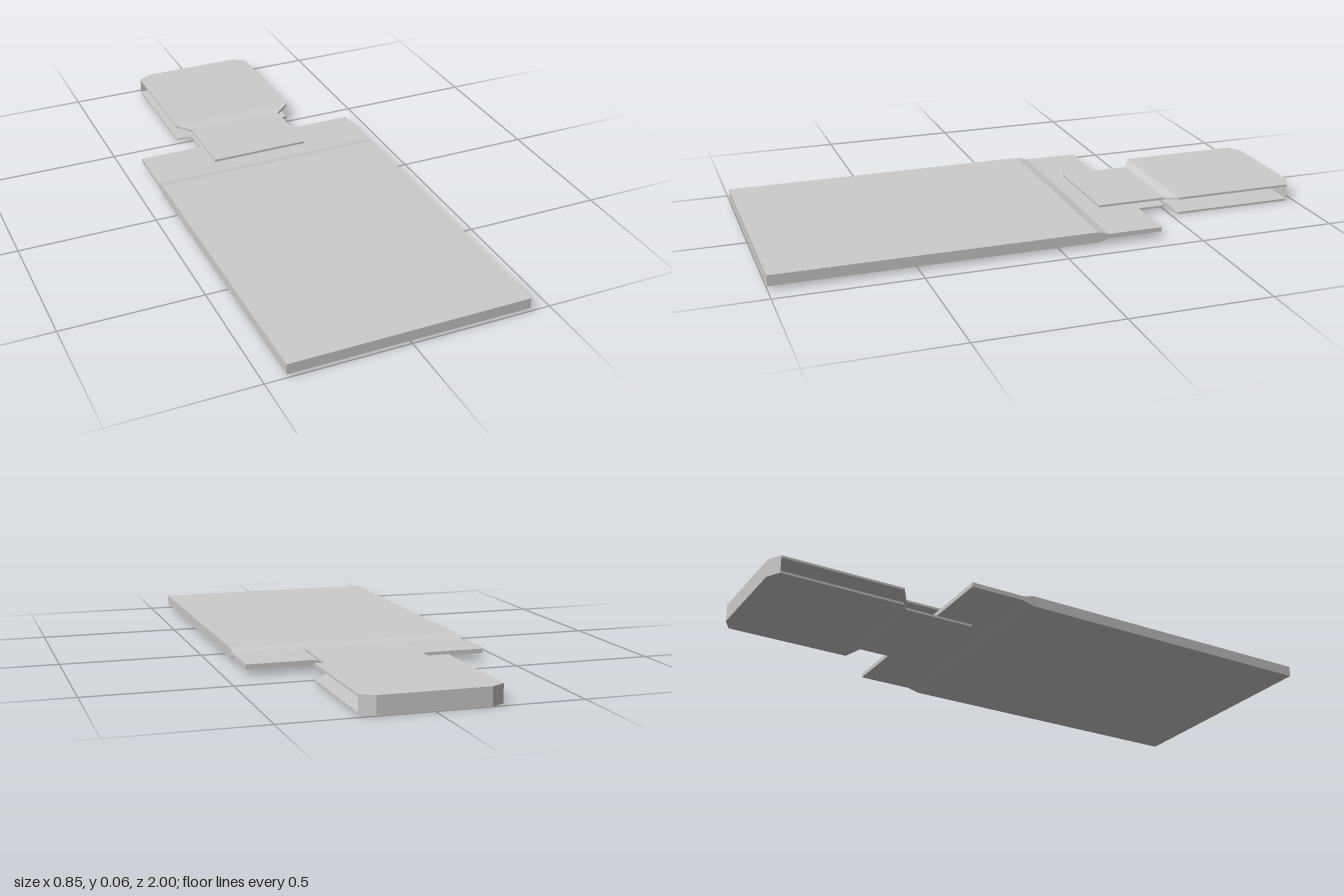
import * as THREE from 'three';

const material = new THREE.MeshStandardMaterial({ color: 0xcccccc, flatShading: true });

// Solid lofted through rectangular sections [z, halfWidth, yBottom, yTop], front to back
function loft(name, sections) {
  const rings = sections.map(([z, w, y0, y1]) => [[-w, y0, z], [w, y0, z], [w, y1, z], [-w, y1, z]]);
  const points = [];
  const quad = (a, b, c, d) => points.push(...a, ...b, ...c, ...a, ...c, ...d);
  for (let i = 0; i < rings.length - 1; i++) {
    const a = rings[i], b = rings[i + 1];
    for (let j = 0; j < 4; j++) {
      const k = (j + 1) % 4;
      quad(a[j], b[j], b[k], a[k]);
    }
  }
  quad(...rings[0]);
  quad(...rings[rings.length - 1].slice().reverse());
  const geometry = new THREE.BufferGeometry();
  geometry.setAttribute('position', new THREE.Float32BufferAttribute(points, 3));
  geometry.computeVertexNormals();
  const mesh = new THREE.Mesh(geometry, material);
  mesh.name = name;
  return mesh;
}

export function createModel() {
  const model = new THREE.Group();
  model.name = 'slabWithClip';
  const mid = 0.032, thickness = 0.008;

  // Broad slab, tapering to a thin tongue at the back
  model.add(loft('slab', [
    [1, 0.427, mid - 0.019, mid + 0.019],
    [-0.135, 0.427, mid - 0.019, mid + 0.019],
    [-0.175, 0.427, mid - 0.008, mid + 0.008],
    [-0.373, 0.427, mid - 0.008, mid + 0.008],
  ]));

  // Clip: mirrored upper and lower plates, [z, halfWidth, outer distance from mid plane]
  const clip = new THREE.Group();
  clip.name = 'clip';
  const profile = [
    [-0.237, 0.183, 0.019],
    [-0.495, 0.183, 0.019],
    [-0.528, 0.235, 0.032],
    [-0.972, 0.235, 0.032],
    [-1, 0.187, 0.032],
  ];
  for (const side of [1, -1]) {
    clip.add(loft(side > 0 ? 'upperPlate' : 'lowerPlate', profile.map(([z, w, h]) => {
      const outer = mid + side * h, inner = mid + side * (h - thickness);
      return [z, w, Math.min(outer, inner), Math.max(outer, inner)];
    })));
  }

  // End wall joining the plates, with chamfered corners
  clip.add(loft('endWall', [
    [-0.972, 0.235, thickness, 2 * mid - thickness],
    [-1, 0.187, thickness, 2 * mid - thickness],
  ]));
  model.add(clip);
  return model;
}
